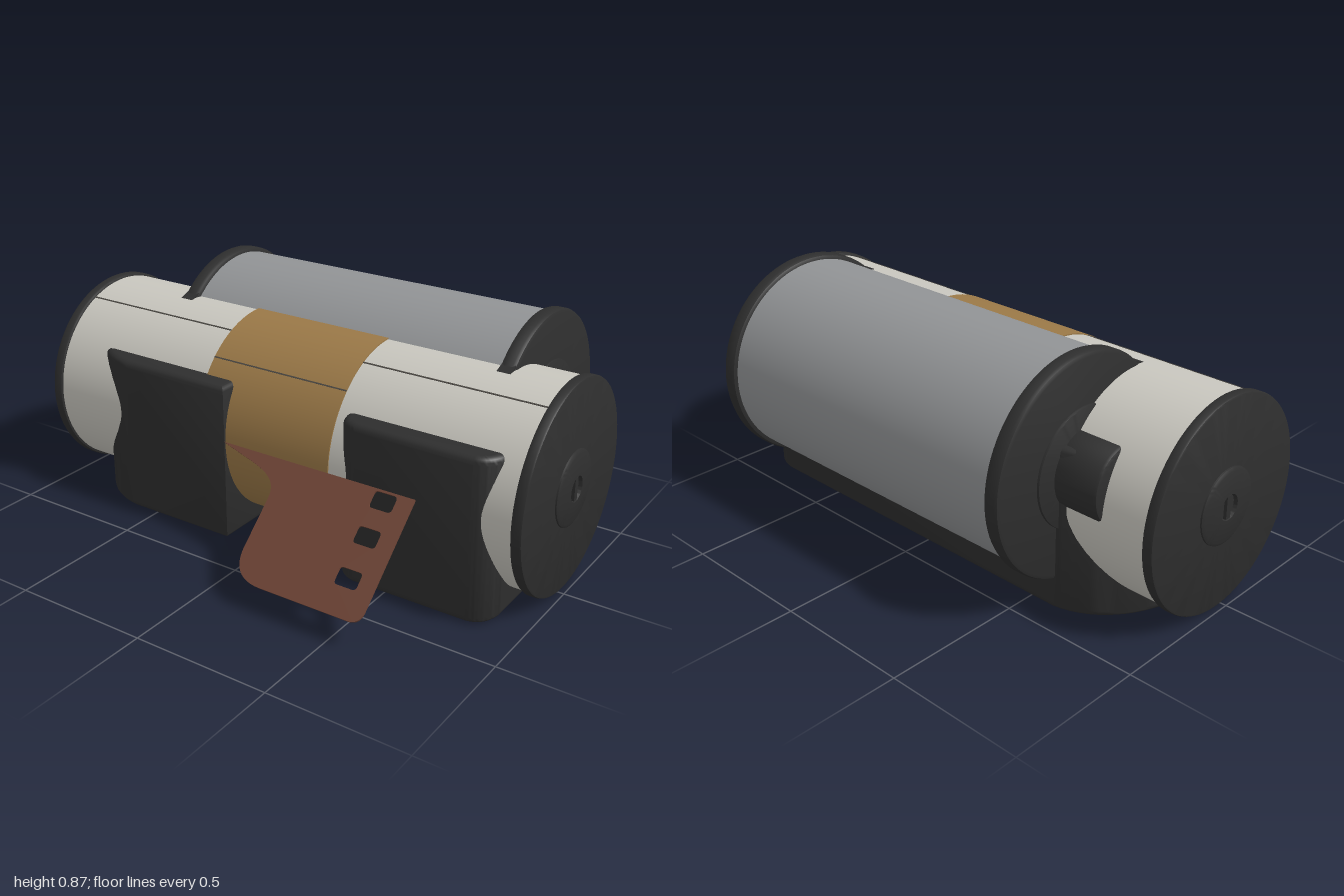
import * as THREE from 'three';
import { toCreasedNormals } from 'three/addons/utils/BufferGeometryUtils.js';

const mat = (name, color) => {
  const m = new THREE.MeshStandardMaterial({ color });
  m.name = name;
  return m;
};

export function createModel() {
  const black = mat('black plastic', 0x2e2e2e);
  const white = mat('off-white shell', 0xc8c6be);
  const grey = mat('grey film', 0x919395);
  const tan = mat('tan band', 0x9a7847);
  const brown = mat('brown leader', 0x6c4335);
  brown.side = THREE.DoubleSide;
  const seamMat = mat('dark seam', 0x4a4742);

  const model = new THREE.Group();
  const add = (name, geo, material, x = 0, y = 0, z = 0, parent = model) => {
    const mesh = new THREE.Mesh(geo, material);
    mesh.name = name;
    mesh.position.set(x, y, z);
    parent.add(mesh);
    return mesh;
  };

  // Turned part lying along x, profile given as [radius, x]
  const turned = (profile) => {
    const pts = profile.map(([r, h]) => new THREE.Vector2(r, h));
    const geo = new THREE.LatheGeometry(pts, 96).rotateZ(-Math.PI / 2);
    return toCreasedNormals(geo, 0.6);
  };
  // Disc or drum between two x positions with softened rims
  const drum = (r, x0, x1, b = 0) => turned(b
    ? [[0, x0], [r - b, x0], [r - b * 0.3, x0 + b * 0.3], [r, x0 + b],
       [r, x1 - b], [r - b * 0.3, x1 - b * 0.3], [r - b, x1], [0, x1]]
    : [[0, x0], [r, x0], [r, x1], [0, x1]]);

  // Main canister
  const MY = 0.38, MZ = -0.03;
  add('canisterShell', drum(0.365, -0.96, 0.96), white, 0, MY, MZ);
  add('canisterBand', drum(0.369, -0.28, 0.275), tan, 0, MY, MZ);
  const seam = (name, y, r, x0, x1) => {
    const a = Math.asin((y - MY) / r);
    const m = add(name, new THREE.BoxGeometry(x1 - x0, 0.005, 0.004), seamMat,
      (x0 + x1) / 2, y, MZ + r * Math.cos(a));
    m.rotation.x = -a;
  };
  seam('shellSeam', 0.71, 0.365, -0.95, -0.28);
  seam('shellSeam', 0.71, 0.365, 0.275, 0.95);
  seam('bandSeam', 0.642, 0.368, -0.28, 0.275);

  // End caps with slotted hubs
  for (const side of [1, -1]) {
    const end = new THREE.Group();
    end.name = side > 0 ? 'leftEndCap' : 'rightEndCap';
    end.position.set(0, MY, MZ);
    if (side < 0) end.rotation.y = Math.PI;
    model.add(end);
    add('capDisc', drum(0.375, 0.945, 0.985, 0.008), black, 0, 0, 0, end);
    add('capHub', turned([[0.135, 0.98], [0.133, 0.99], [0.122, 0.996], [0.045, 1.0],
      [0.042, 0.987], [0, 0.987]]), black, 0, 0, 0, end);
    add('hubBar', new THREE.BoxGeometry(0.012, 0.082, 0.022), black, 0.992, 0, 0, end);
  }

  // Rear spool of film
  const SY = 0.48, SZ = -0.285;
  add('spoolFilm', drum(0.368, -0.57, 0.72), grey, 0, SY, SZ);
  for (const [name, x0, x1] of [['rightFlange', -0.61, -0.55], ['leftFlange', 0.706, 0.766]]) {
    add(name, drum(0.385, x0, x1, 0.015), black, 0, SY, SZ);
    // Small web where the flange runs onto the canister
    const web = new THREE.Shape();
    web.moveTo(-0.03, 0.738);
    web.quadraticCurveTo(0.06, 0.765, 0.12, 0.82);
    web.lineTo(0.2, 0.78);
    web.lineTo(0.12, 0.7);
    const geo = new THREE.ExtrudeGeometry(web, { depth: x1 - x0 - 0.01, bevelEnabled: false });
    add(name + 'Web', geo.rotateY(Math.PI / 2), black, x0 + 0.005, 0, 0);
  }
  add('leftSpoolRing', drum(0.21, 0.76, 0.771, 0.003), black, 0, SY, SZ);
  add('leftSpoolHub', drum(0.155, 0.76, 0.782, 0.005), black, 0, SY, SZ);
  add('rightSpoolRing', drum(0.21, -0.619, -0.6, 0.004), black, 0, SY, SZ);
  add('spoolKnob', drum(0.14, -0.785, -0.6, 0.012), black, 0, SY, SZ);

  // Cradle: plan outline (x, -z) raised upward, with a notch at the front
  const plan = new THREE.Shape();
  plan.moveTo(-0.155, -0.345);
  plan.lineTo(-0.155, 0.02);
  plan.quadraticCurveTo(-0.155, 0.08, -0.095, 0.08);
  plan.lineTo(0.245, 0.08);
  plan.quadraticCurveTo(0.305, 0.08, 0.305, 0.02);
  plan.lineTo(0.305, -0.27);
  plan.quadraticCurveTo(0.31, -0.335, 0.38, -0.345);
  plan.lineTo(0.81, -0.345);
  plan.quadraticCurveTo(0.88, -0.335, 0.89, -0.25);
  plan.lineTo(0.89, 0.3);
  plan.quadraticCurveTo(0.88, 0.395, 0.78, 0.405);
  plan.lineTo(-0.6, 0.405);
  plan.bezierCurveTo(-0.78, 0.38, -0.88, 0.2, -0.88, 0.03);
  plan.bezierCurveTo(-0.88, -0.14, -0.8, -0.32, -0.6, -0.345);
  plan.closePath();
  const B = 0.025;
  const cradle = new THREE.ExtrudeGeometry(plan, {
    depth: 0.59 - 2 * B, bevelThickness: B, bevelSize: B, bevelOffset: -B,
    bevelSegments: 4, curveSegments: 16,
  }).rotateX(-Math.PI / 2);
  add('cradle', toCreasedNormals(cradle, 0.6), black, 0, B, 0);

  // Film leader: sloping tongue with three perforations
  const tongue = new THREE.Shape();
  tongue.moveTo(-0.155, 0);
  tongue.bezierCurveTo(0.0, -0.045, 0.11, -0.05, 0.112, -0.14);
  tongue.lineTo(0.112, -0.33);
  tongue.quadraticCurveTo(0.115, -0.435, 0.23, -0.437);
  tongue.lineTo(0.57, -0.437);
  tongue.quadraticCurveTo(0.615, -0.437, 0.615, -0.39);
  tongue.lineTo(0.615, 0);
  tongue.closePath();
  for (const v of [0.038, 0.165, 0.31]) {
    const x0 = 0.47, x1 = 0.555, y0 = -v - 0.03, y1 = -v + 0.03, r = 0.015;
    const hole = new THREE.Path();
    hole.moveTo(x0 + r, y0);
    hole.lineTo(x1 - r, y0);
    hole.quadraticCurveTo(x1, y0, x1, y0 + r);
    hole.lineTo(x1, y1 - r);
    hole.quadraticCurveTo(x1, y1, x1 - r, y1);
    hole.lineTo(x0 + r, y1);
    hole.quadraticCurveTo(x0, y1, x0, y1 - r);
    hole.lineTo(x0, y0 + r);
    hole.quadraticCurveTo(x0, y0, x0 + r, y0);
    tongue.holes.push(hole);
  }
  const leader = add('filmLeader',
    new THREE.ExtrudeGeometry(tongue, { depth: 0.006, bevelEnabled: false }),
    brown, 0, 0.385, 0.342);
  leader.rotation.x = -0.835;

  return model;
}
